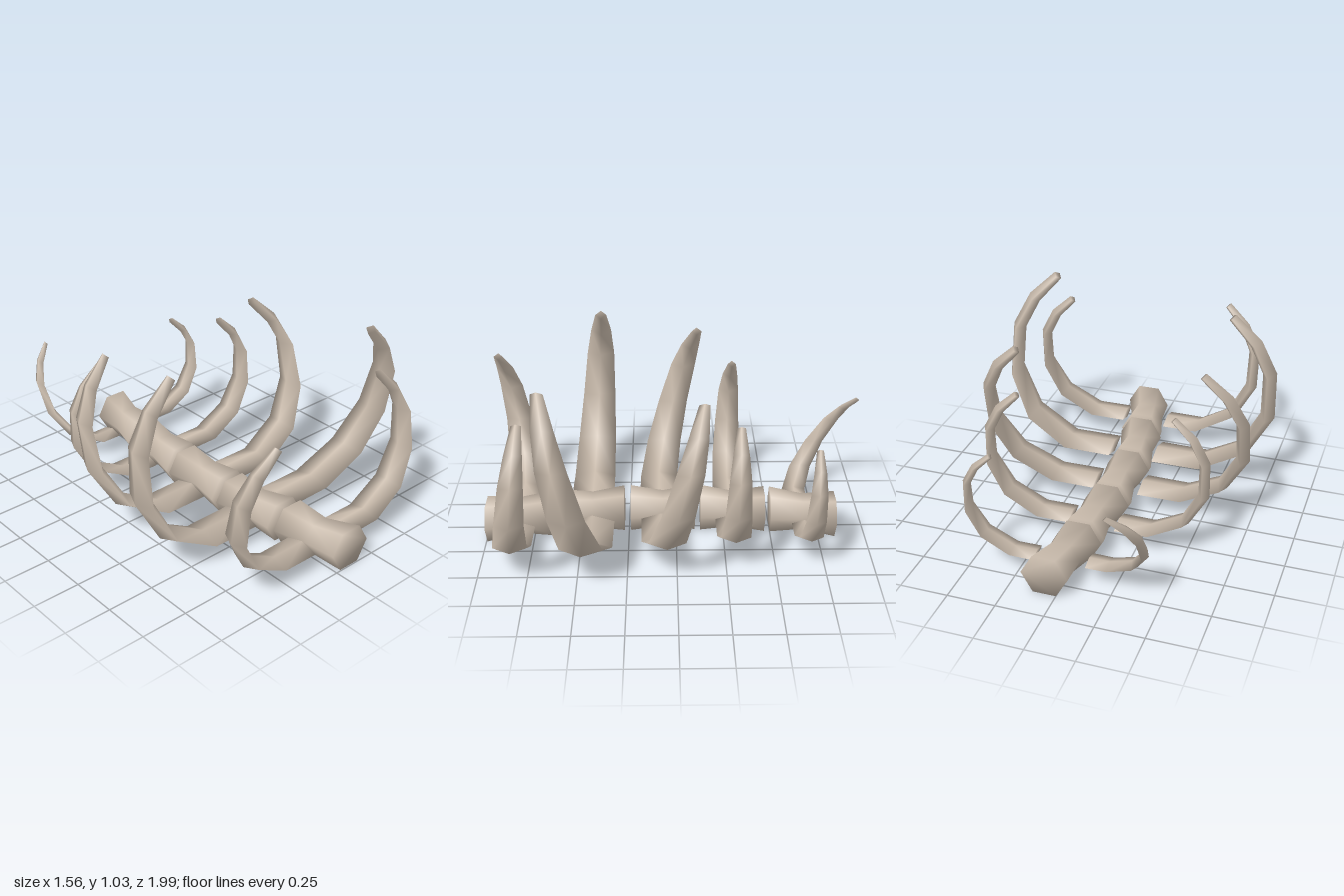
import * as THREE from 'three';

const bone = new THREE.MeshStandardMaterial({ color: 0xc8baab });
bone.name = 'bone';

// Closed, smooth skin through rings of equal point count; faces point outwards for ring order +1.
function loft(rings, order) {
  const n = rings[0].length, pos = [], index = [];
  const tri = (a, b, c) => (order > 0 ? index.push(a, b, c) : index.push(a, c, b));
  rings.forEach((ring) => ring.forEach((p) => pos.push(...p)));
  for (let r = 0; r < rings.length - 1; r++) {
    for (let i = 0; i < n; i++) {
      const a = r * n + i, b = r * n + (i + 1) % n;
      tri(a, b, b + n);
      tri(a, b + n, a + n);
    }
  }
  const last = (rings.length - 1) * n;
  for (let i = 1; i < n - 1; i++) {
    tri(0, i + 1, i);
    tri(last, last + i, last + i + 1);
  }
  const geo = new THREE.BufferGeometry();
  geo.setAttribute('position', new THREE.Float32BufferAttribute(pos, 3));
  geo.setIndex(index);
  geo.computeVertexNormals();
  return geo;
}

const MID_Y = 0.105;

// Waisted hexagonal spine segment: x centres at back, middle and front.
function vertebra(z0, z1, xs) {
  const radii = [0.12, 0.095, 0.12];
  const rings = xs.map((cx, k) => {
    const z = z0 + (z1 - z0) * k / 2;
    return Array.from({ length: 6 }, (_, i) => {
      const a = i * Math.PI / 3;
      return [cx + radii[k] * Math.cos(a), MID_Y + radii[k] * Math.sin(a), z];
    });
  });
  return loft(rings, 1);
}

// Full-size rib: [x, height, thickness, width] along its curve.
const RIB = [
  [0.125, 0, 0.07, 0.23], [0.39, 0, 0.07, 0.225], [0.62, 0.13, 0.075, 0.21],
  [0.74, 0.355, 0.08, 0.18], [0.74, 0.61, 0.075, 0.15],
  [0.66, 0.775, 0.07, 0.11], [0.53, 0.91, 0.05, 0.06],
];

// Tapering rib of diamond section that leans from z0 at the spine to z1 at the tip.
function rib(side, { off, sx, sy, size, z0, z1 }) {
  const pts = RIB.map(([x, y], i) => new THREE.Vector2(i ? x * sx : x, y * sy));
  const rings = pts.map((p, i) => {
    const t = pts[Math.min(i + 1, pts.length - 1)].clone().sub(pts[Math.max(i - 1, 0)]).normalize();
    const h = RIB[i][2] * size / 2, w = RIB[i][3] * size / 2;
    const z = z0 + (z1 - z0) * RIB[i][1] / 0.91;
    const at = (n, dz) => [off + side * (p.x - t.y * n), MID_Y + p.y + t.x * n, z + dz];
    return [at(h, 0), at(0, w), at(-h, 0), at(0, -w)];
  });
  return loft(rings, side);
}

// Spine segments from back to front with their left (+x) and right (-x) ribs.
const SEGMENTS = [
  { z: [-0.84, -0.5], xs: [0.06, 0.03, 0.005], size: 0.56,
    left: { off: 0.035, sx: 0.64, sy: 0.585, z0: -0.67, z1: -0.7 },
    right: { off: 0.02, sx: 0.6, sy: 0.55, z0: -0.65, z1: -0.98 } },
  { z: [-0.47, -0.13], xs: [0, -0.005, -0.02], size: 0.73,
    left: { off: -0.015, sx: 0.765, sy: 0.73, z0: -0.29, z1: -0.31 },
    right: { off: -0.015, sx: 0.765, sy: 0.73, z0: -0.29, z1: -0.31 } },
  { z: [-0.1, 0.24], xs: [-0.025, -0.015, -0.02], size: 0.9,
    left: { off: -0.025, sx: 0.92, sy: 0.9, z0: 0.08, z1: -0.13 },
    right: { off: -0.025, sx: 0.92, sy: 0.9, z0: 0.09, z1: -0.12 } },
  { z: [0.275, 0.61], xs: [-0.02, -0.005, 0.02], size: 1,
    left: { off: 0, sx: 1, sy: 1, z0: 0.44, z1: 0.65 },
    right: { off: 0, sx: 1, sy: 1, z0: 0.45, z1: 0.4 } },
  { z: [0.65, 0.995], xs: [0.03, 0.05, 0.09], size: 0.81,
    left: { off: 0.05, sx: 0.82, sy: 0.8, z0: 0.83, z1: 0.76 },
    right: { off: 0.05, sx: 0.82, sy: 0.8, z0: 0.83, z1: 0.95 } },
];

export function createModel() {
  const model = new THREE.Group();
  model.name = 'ribcage';
  const add = (name, geo) => {
    const mesh = new THREE.Mesh(geo, bone);
    mesh.name = name;
    model.add(mesh);
  };
  SEGMENTS.forEach((s, i) => {
    add(`vertebra${i + 1}`, vertebra(s.z[0], s.z[1], s.xs));
    add(`leftRib${i + 1}`, rib(1, { ...s.left, size: s.size }));
    add(`rightRib${i + 1}`, rib(-1, { ...s.right, size: s.size }));
  });
  return model;
}
